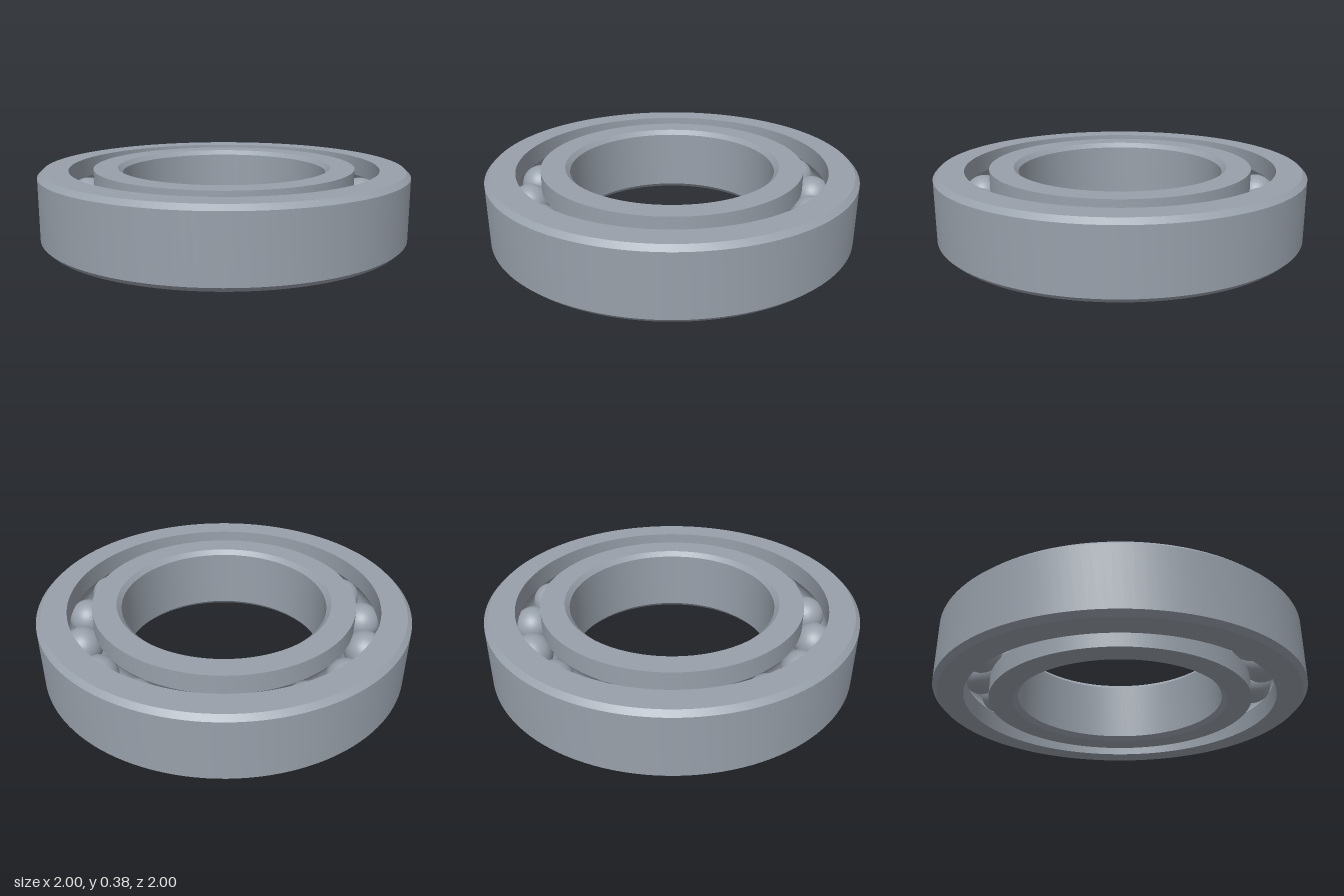
import * as THREE from 'three';
import { toCreasedNormals } from 'three/addons/utils/BufferGeometryUtils.js';

const HEIGHT = 0.38, MID = HEIGHT / 2, CHAMFER = 0.025;
const BORE = 0.555, INNER_EDGE = 0.71, OUTER_EDGE = 0.84, RIM = 1;
const PITCH = 0.775, BALL_RADIUS = 0.105, BALL_COUNT = 17;

// Arc of the ball groove, running between two angles around the pitch circle
function groove(from, to) {
  const steps = 14, radius = BALL_RADIUS + 0.001, points = [];
  for (let i = 0; i <= steps; i++) {
    const a = from + (to - from) * i / steps;
    points.push([PITCH + radius * Math.cos(a), MID + radius * Math.sin(a)]);
  }
  return points;
}

// Closed, counter-clockwise profile spun around y with crisp edges
function ring(name, profile, material) {
  const points = [...profile, profile[0]].map(([r, y]) => new THREE.Vector2(r, y));
  const geometry = toCreasedNormals(new THREE.LatheGeometry(points, 128), 0.5);
  const mesh = new THREE.Mesh(geometry, material);
  mesh.name = name;
  return mesh;
}

export function createModel() {
  const model = new THREE.Group();
  model.name = 'ballBearing';
  const steel = new THREE.MeshStandardMaterial({ color: 0x98a0aa });
  steel.name = 'steel';

  // Outer race: chamfered rim, groove facing inwards
  const half = Math.acos((OUTER_EDGE - PITCH) / (BALL_RADIUS + 0.001));
  model.add(ring('outerRace', [
    [OUTER_EDGE, 0], [RIM - CHAMFER, 0], [RIM, CHAMFER],
    [RIM, HEIGHT - CHAMFER], [RIM - CHAMFER, HEIGHT], [OUTER_EDGE, HEIGHT],
    ...groove(half, -half),
  ], steel));

  // Inner race: chamfered bore, groove facing outwards
  model.add(ring('innerRace', [
    [BORE + CHAMFER, 0], [INNER_EDGE, 0],
    ...groove(Math.PI + half, Math.PI - half),
    [INNER_EDGE, HEIGHT], [BORE + CHAMFER, HEIGHT],
    [BORE, HEIGHT - CHAMFER], [BORE, CHAMFER],
  ], steel));

  // Balls spaced evenly in the groove
  const balls = new THREE.Group();
  balls.name = 'balls';
  const ballGeometry = new THREE.SphereGeometry(BALL_RADIUS, 40, 24);
  for (let i = 0; i < BALL_COUNT; i++) {
    const a = THREE.MathUtils.degToRad(11.6) + i * 2 * Math.PI / BALL_COUNT;
    const ball = new THREE.Mesh(ballGeometry, steel);
    ball.name = 'ball' + (i + 1);
    ball.position.set(PITCH * Math.cos(a), MID, PITCH * Math.sin(a));
    balls.add(ball);
  }
  model.add(balls);
  return model;
}
